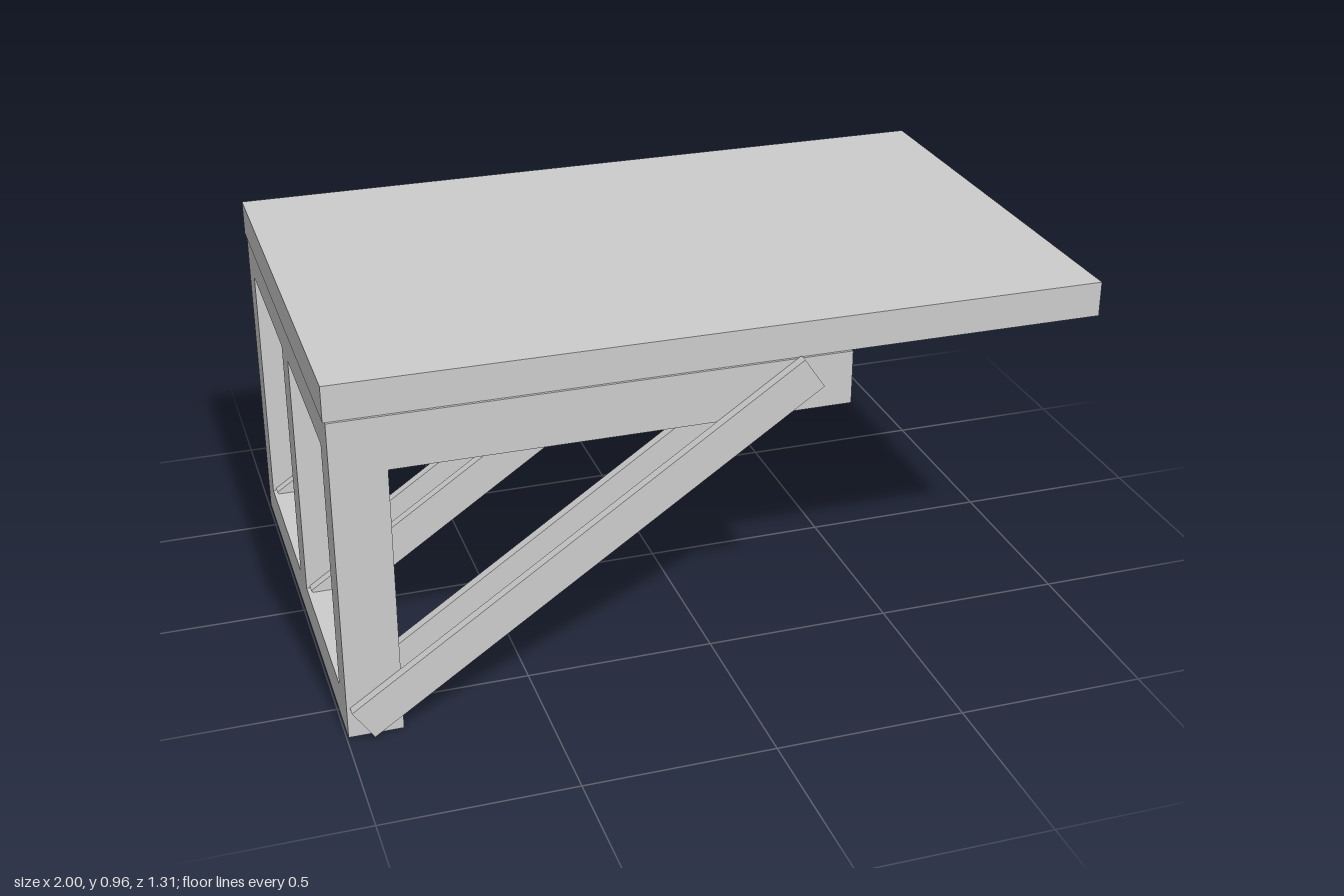
import * as THREE from 'three';

export function createModel() {
  const model = new THREE.Group();
  const material = new THREE.MeshStandardMaterial({ color: 0xcccccc, flatShading: true });

  // Box given by its limits on each axis
  function box(name, [x0, x1], [y0, y1], [z0, z1]) {
    const mesh = new THREE.Mesh(new THREE.BoxGeometry(x1 - x0, y1 - y0, z1 - z0), material);
    mesh.position.set((x0 + x1) / 2, (y0 + y1) / 2, (z0 + z1) / 2);
    mesh.name = name;
    model.add(mesh);
  }

  const postX = [-0.995, -0.855];
  box('tableTop', [-1, 1], [0.87, 0.963], [-0.626, 0.624]);

  // Three bracket frames: upright post and cantilevered arm
  const frames = [[0.535, 0.631], [-0.048, 0.05], [-0.627, -0.531]];
  frames.forEach((z) => {
    box('post', postX, [0, 0.728], z);
    box('arm', [-0.995, 0.318], [0.728, 0.87], z);
  });

  // Rails joining neighbouring frames
  for (let i = 0; i < 2; i++) {
    const span = [frames[i + 1][1], frames[i][0]];
    box('bottomRail', postX, [0, 0.097], span);
    box('topRail', postX, [0.772, 0.87], span);
  }

  // A pair of diagonal braces clasps each frame; the first pair sits a little lower
  const thickness = 0.026;
  const braceGeometry = new THREE.BoxGeometry(1.41, 0.096, thickness);
  frames.forEach(([z0, z1], i) => {
    [z0 - thickness / 2, z1 + thickness / 2].forEach((z) => {
      const brace = new THREE.Mesh(braceGeometry, material);
      brace.name = 'diagonalBrace';
      brace.position.set(-0.376, i === 0 ? 0.441 : 0.459, z);
      brace.rotation.z = Math.atan2(0.79, 1.165);
      model.add(brace);
    });
  });

  return model;
}
